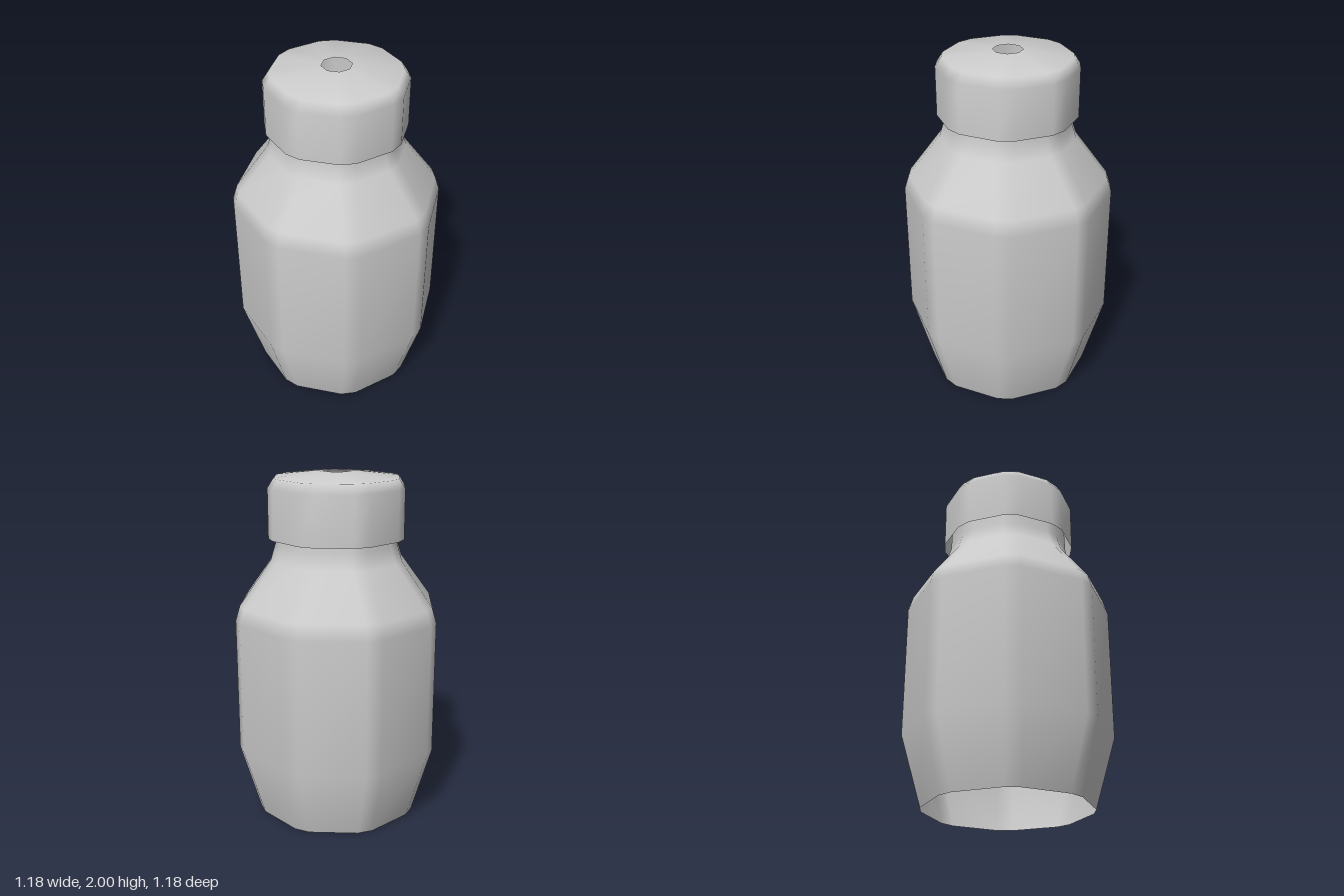
import * as THREE from 'three';
import { mergeVertices } from 'three/addons/utils/BufferGeometryUtils.js';

// Octagonal shell with bevelled upright edges, lofted through rings of
// [corner radius, height, half-width of the bevel], listed from bottom to top.
function octagonShell(rings) {
  const positions = [], indices = [], n = 16;
  for (const [r, y, w] of rings) {
    for (let k = 0; k < 8; k++) {
      const a = (k * Math.PI) / 4, c = Math.cos(a), s = Math.sin(a);
      for (const side of [-w, w]) {
        positions.push(r * c - side * s, y, r * s + side * c);
      }
    }
  }
  for (let i = 0; i < rings.length - 1; i++) {
    for (let j = 0; j < n; j++) {
      const a = i * n + j, b = i * n + ((j + 1) % n);
      indices.push(a, a + n, b, b, a + n, b + n);
    }
  }
  const geometry = new THREE.BufferGeometry();
  geometry.setAttribute('position', new THREE.Float32BufferAttribute(positions, 3));
  geometry.setIndex(indices);
  const merged = mergeVertices(geometry);
  merged.computeVertexNormals(); // area weighted: broad faces flat, bevels soft
  return merged;
}

export function createModel() {
  const group = new THREE.Group();
  group.name = 'bottle';
  const grey = new THREE.MeshStandardMaterial({ color: 0xcccccc, side: THREE.DoubleSide });
  grey.name = 'light grey';

  const add = (name, rings) => {
    const mesh = new THREE.Mesh(octagonShell(rings), grey);
    mesh.name = name;
    group.add(mesh);
  };

  // Body, open at the base, with the neck running up inside the cap
  add('body', [
    [0.473, 0, 0.045],
    [0.592, 0.405, 0.045],
    [0.592, 1.18, 0.045],
    [0.565, 1.265, 0.045],
    [0.38, 1.51, 0.045],
    [0.35, 1.605, 0.045],
    [0.345, 1.75, 0.045],
  ]);

  // Cap, open below, with a small hole in its shallow crown
  add('cap', [
    [0.39, 1.635, 0.045],
    [0.39, 1.915, 0.045],
    [0.355, 1.967, 0.045],
    [0.083, 2.0, 0],
  ]);

  return group;
}
